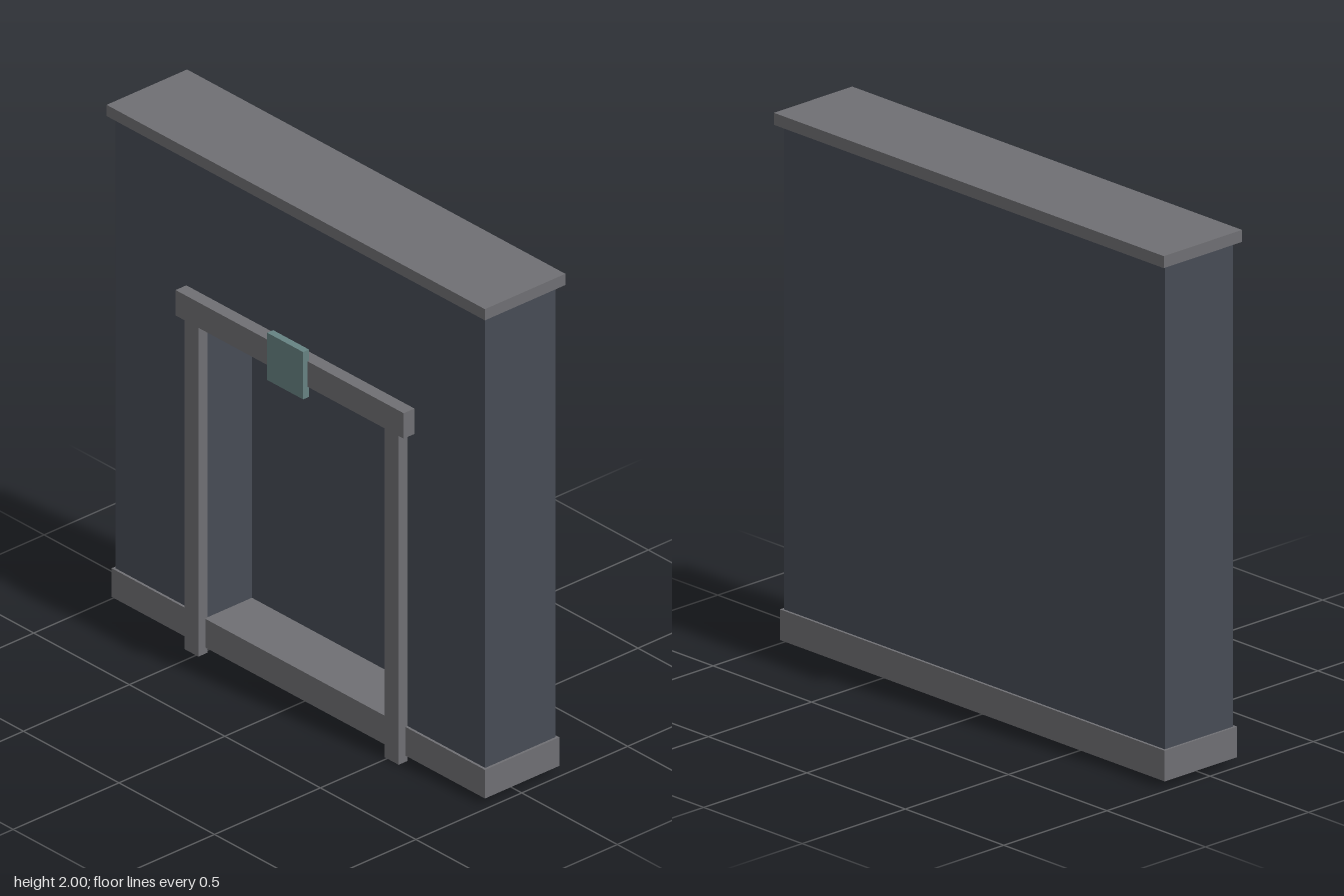
import * as THREE from 'three';

const material = (name, color) => {
  const m = new THREE.MeshStandardMaterial({ color });
  m.name = name;
  return m;
};

export function createModel() {
  const group = new THREE.Group();
  const slate = material('dark slate', 0x464b55);
  const stone = material('grey stone', 0x6f6f73);
  const teal = material('muted teal', 0x668282);

  const add = (name, geometry, mat) => {
    const mesh = new THREE.Mesh(geometry, mat);
    mesh.name = name;
    group.add(mesh);
    return mesh;
  };

  // Box given by its lower and upper limits on each axis
  const box = (name, mat, [x0, x1], [y0, y1], [z0, z1]) =>
    add(name, new THREE.BoxGeometry(x1 - x0, y1 - y0, z1 - z0), mat)
      .position.set((x0 + x1) / 2, (y0 + y1) / 2, (z0 + z1) / 2);

  // Wall: a solid back and a front layer notched for the recess
  const w = 0.967, bottom = 0.13, top = 1.96, back = -0.188, recess = -0.07, front = 0.143;
  const openW = 0.49, openTop = 1.33;
  box('wallBack', slate, [-w, w], [bottom, top], [back, recess]);
  const outline = new THREE.Shape([
    [-w, bottom], [-openW, bottom], [-openW, openTop], [openW, openTop],
    [openW, bottom], [w, bottom], [w, top], [-w, top],
  ].map(([x, y]) => new THREE.Vector2(x, y)));
  const wallFront = new THREE.ExtrudeGeometry(outline, { depth: front - recess, bevelEnabled: false });
  add('wallFront', wallFront, slate).position.z = recess;

  // Base and cap
  box('plinth', stone, [-0.977, 0.977], [0.025, 0.14], [-0.198, 0.153]);
  box('cap', stone, [-0.99, 0.99], [1.955, 2], [-0.215, 0.165]);

  // Door frame
  for (const [name, x] of [['rightPost', -0.524], ['leftPost', 0.524]]) {
    box(name, stone, [x - 0.037, x + 0.037], [0, 1.328], [front, 0.185]);
  }
  box('lintel', stone, [-0.597, 0.597], [1.328, 1.43], [front, 0.194]);
  box('keystone', teal, [-0.094, 0.094], [1.285, 1.475], [0.187, 0.215]);

  return group;
}
